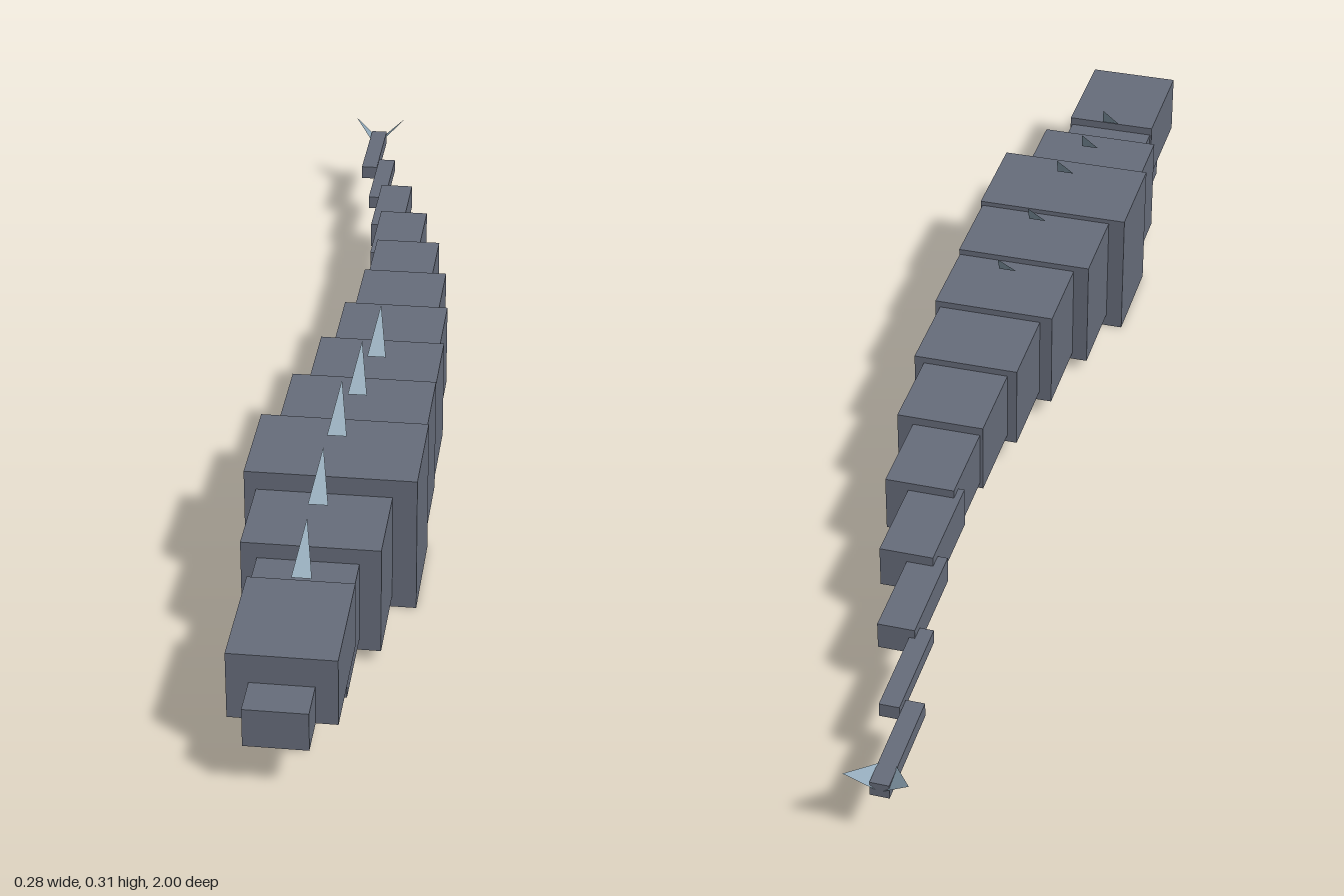
import * as THREE from 'three';

const skin = new THREE.MeshStandardMaterial({ color: 0x666c7a, flatShading: true });
const finMaterial = new THREE.MeshStandardMaterial({ color: 0x8ea6b6, flatShading: true, side: THREE.DoubleSide });

// Box given by its extents along each axis
function block(name, [x0, x1], [y0, y1], [z0, z1]) {
  const mesh = new THREE.Mesh(new THREE.BoxGeometry(x1 - x0, y1 - y0, z1 - z0), skin);
  mesh.position.set((x0 + x1) / 2, (y0 + y1) / 2, (z0 + z1) / 2);
  mesh.name = name;
  return mesh;
}

// Flat three-cornered fin
function fin(name, a, b, c) {
  const geometry = new THREE.BufferGeometry();
  geometry.setAttribute('position', new THREE.Float32BufferAttribute([...a, ...b, ...c], 3));
  geometry.computeVertexNormals();
  const mesh = new THREE.Mesh(geometry, finMaterial);
  mesh.name = name;
  return mesh;
}

export function createModel() {
  const model = new THREE.Group();
  model.name = 'seaCreature';

  // Head and snout
  model.add(block('snout', [-0.052, 0.041], [0.077, 0.138], [0.93, 1.0]));
  model.add(block('head', [-0.084, 0.073], [0.077, 0.184], [0.745, 0.937]));

  // Overlapping body segments, neck to tail: x min, x max, y min, y max
  const segments = [
    [-0.081, 0.07, 0.04, 0.17],
    [-0.105, 0.102, 0.02, 0.195],
    [-0.123, 0.139, 0, 0.225],
    [-0.095, 0.136, 0.023, 0.217],
    [-0.069, 0.135, 0.035, 0.207],
    [-0.048, 0.127, 0.051, 0.196],
    [-0.032, 0.111, 0.064, 0.185],
    [-0.027, 0.085, 0.075, 0.171],
    [-0.037, 0.048, 0.087, 0.157],
    [-0.053, 0.005, 0.096, 0.141],
    [-0.075, -0.044, 0.103, 0.126],
    [-0.106, -0.077, 0.096, 0.12],
  ];
  const spacing = 0.1485, length = 0.173;
  segments.forEach(([x0, x1, y0, y1], i) => {
    const z = 0.735 - spacing * i;
    model.add(block(`bodySegment${i + 1}`, [x0, x1], [y0, y1], [z - length / 2, z + length / 2]));
  });

  // Back-swept spines above the front segments: x, base height
  [[-0.005, 0.186], [-0.001, 0.218], [0.008, 0.25], [0.021, 0.239], [0.034, 0.227]].forEach(([x, y], i) => {
    const z = 0.743 - spacing * i;
    model.add(fin(`spine${i + 1}`, [x - 0.015, y, z], [x + 0.015, y, z], [x, y + 0.062, z - 0.064]));
  });

  // Pair of tail flukes
  const tailX = -0.0915;
  for (const side of [-1, 1]) {
    model.add(fin(side > 0 ? 'leftFluke' : 'rightFluke',
      [tailX, 0.112, -0.925], [tailX + side * 0.048, 0.142, -1], [tailX, 0.103, -0.983]));
  }
  return model;
}
